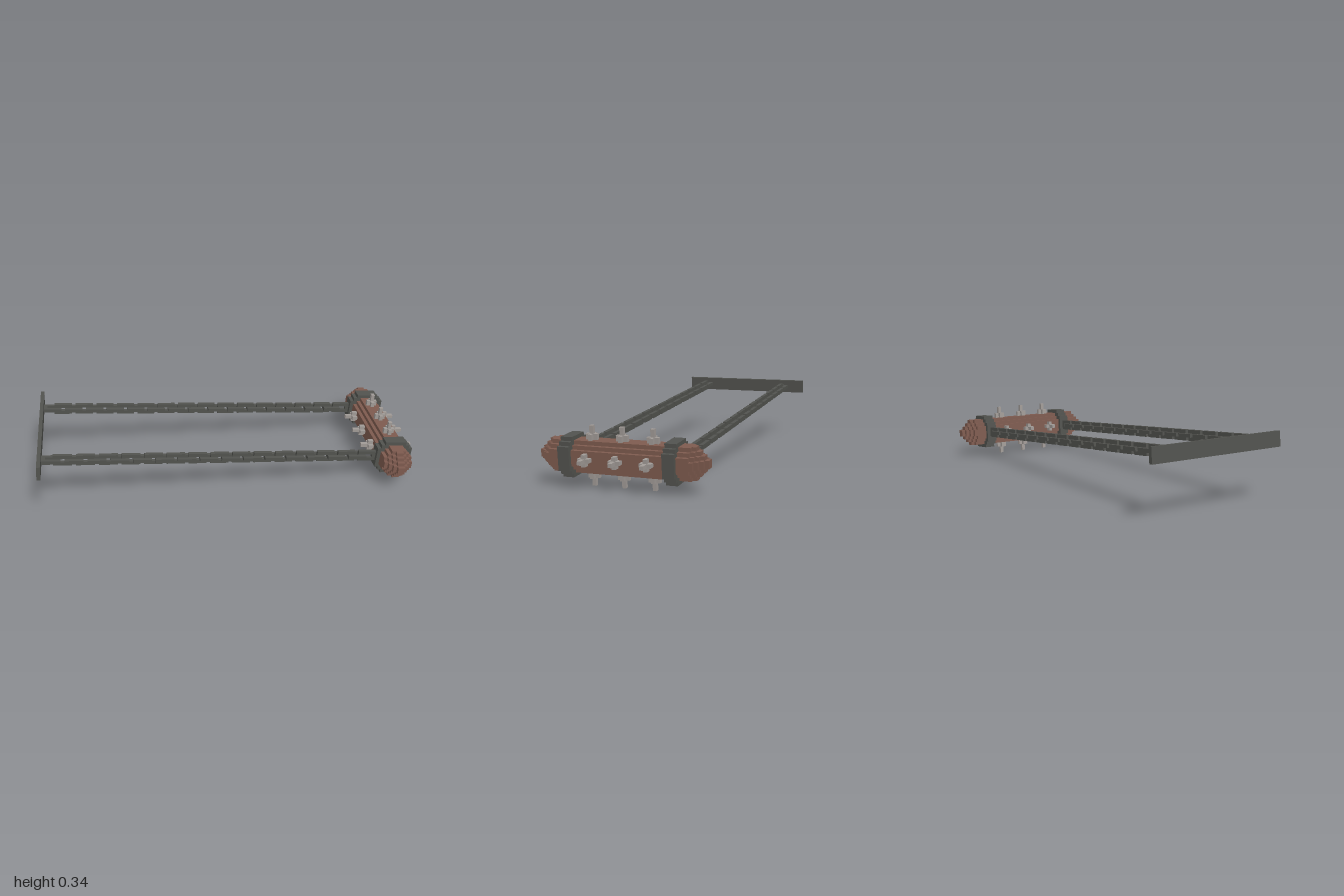
import * as THREE from 'three';

const CELL = 0.019; // one voxel; parts below are measured in voxels
const TILT = THREE.MathUtils.degToRad(-5);

export function createModel() {
  const material = (name, color) => {
    const m = new THREE.MeshStandardMaterial({ color });
    m.name = name;
    return m;
  };
  const wood = material('reddish wood', 0x7d5a4e);
  const iron = material('dark iron', 0x51524e);
  const steel = material('pale steel', 0xa09a96);

  // Origin on the log axis, which runs along z
  const body = new THREE.Group();
  body.name = 'swingingLog';
  body.scale.setScalar(CELL);
  body.rotation.z = TILT;
  body.position.set(0.857, 0.1428, 0);

  const add = (parent, name, geometry, mat, x = 0, y = 0, z = 0) => {
    const mesh = new THREE.Mesh(geometry, mat);
    mesh.name = name;
    mesh.position.set(x, y, z);
    parent.add(mesh);
    return mesh;
  };

  // Stepped round section from [half width, half height] pairs, extruded from z0 to z1
  const steppedDisc = (steps, z0, z1) => {
    const quarter = [];
    for (let i = steps.length - 1; i >= 0; i--) {
      quarter.push(steps[i]);
      if (i > 0) quarter.push([steps[i - 1][0], steps[i][1]]);
    }
    const points = [];
    for (let q = 0; q < 4; q++) {
      for (let [x, y] of quarter) {
        for (let k = 0; k < q; k++) [x, y] = [-y, x];
        points.push(new THREE.Vector2(x, y));
      }
    }
    const geometry = new THREE.ExtrudeGeometry(new THREE.Shape(points), { depth: z1 - z0, bevelEnabled: false });
    return geometry.translate(0, 0, z0);
  };

  // Log with stepped, rounded ends
  add(body, 'logBody', steppedDisc([[2, 4], [3, 3], [4, 2]], -18, 18), wood);
  const endLayers = [
    [[1, 4], [2, 3], [3, 2], [4, 1]],
    [[1, 3], [2, 2], [3, 1]],
    [[1, 2], [2, 1]],
    [[1, 1]],
  ];
  endLayers.forEach((steps, i) => {
    add(body, 'logFrontEnd', steppedDisc(steps, 18 + i, 19 + i), wood);
    add(body, 'logBackEnd', steppedDisc(steps, -19 - i, -18 - i), wood);
  });

  // Iron bands around the log
  for (const z of [-13.5, 13.5]) {
    add(body, 'ironBand', steppedDisc([[3, 5], [4, 4], [5, 3]], z - 1.5, z + 1.5), iron);
  }

  // Spikes: a cross-shaped base and a thin tip, in four directions
  const tip = new THREE.BoxGeometry(1, 4, 1);
  const armX = new THREE.BoxGeometry(3, 2, 1);
  const armZ = new THREE.BoxGeometry(1, 2, 3);
  for (const z of [-8, 0, 8]) {
    for (let q = 0; q < 4; q++) {
      const spike = new THREE.Group();
      spike.name = 'spike';
      spike.position.z = z;
      spike.rotation.z = q * Math.PI / 2;
      add(spike, 'spikeBaseAcross', armX, steel, 0, 4.5);
      add(spike, 'spikeBaseAlong', armZ, steel, 0, 4.5);
      add(spike, 'spikeTip', tip, steel, 0, 5.5);
      body.add(spike);
    }
  }

  // Chain link: a 5 x 3 frame with a 3 x 1 hole, one voxel thick
  const rect = (Type, w, h) => new Type([[-w, -h], [w, -h], [w, h], [-w, h]].map(([x, y]) => new THREE.Vector2(x, y)));
  const linkShape = rect(THREE.Shape, 2.5, 1.5);
  linkShape.holes.push(rect(THREE.Path, 1.5, 0.5));
  const uprightLink = new THREE.ExtrudeGeometry(linkShape, { depth: 1, bevelEnabled: false }).translate(0, 0, -0.5);
  const flatLink = uprightLink.clone().rotateX(Math.PI / 2);

  // Two chains of alternating links
  for (const z of [-13.5, 13.5]) {
    const chain = new THREE.Group();
    chain.name = 'chain';
    chain.position.z = z;
    for (let i = 0; i < 15; i++) {
      add(chain, 'flatLink', flatLink, iron, -94.5 + i * 6);
      add(chain, 'uprightLink', uprightLink, iron, -91.5 + i * 6);
    }
    body.add(chain);
  }

  // Mounting plate
  add(body, 'mountingPlate', new THREE.BoxGeometry(1, 4, 40), iron, -97.5);

  const model = new THREE.Group();
  model.name = 'spikedLogTrap';
  model.add(body);
  return model;
}
